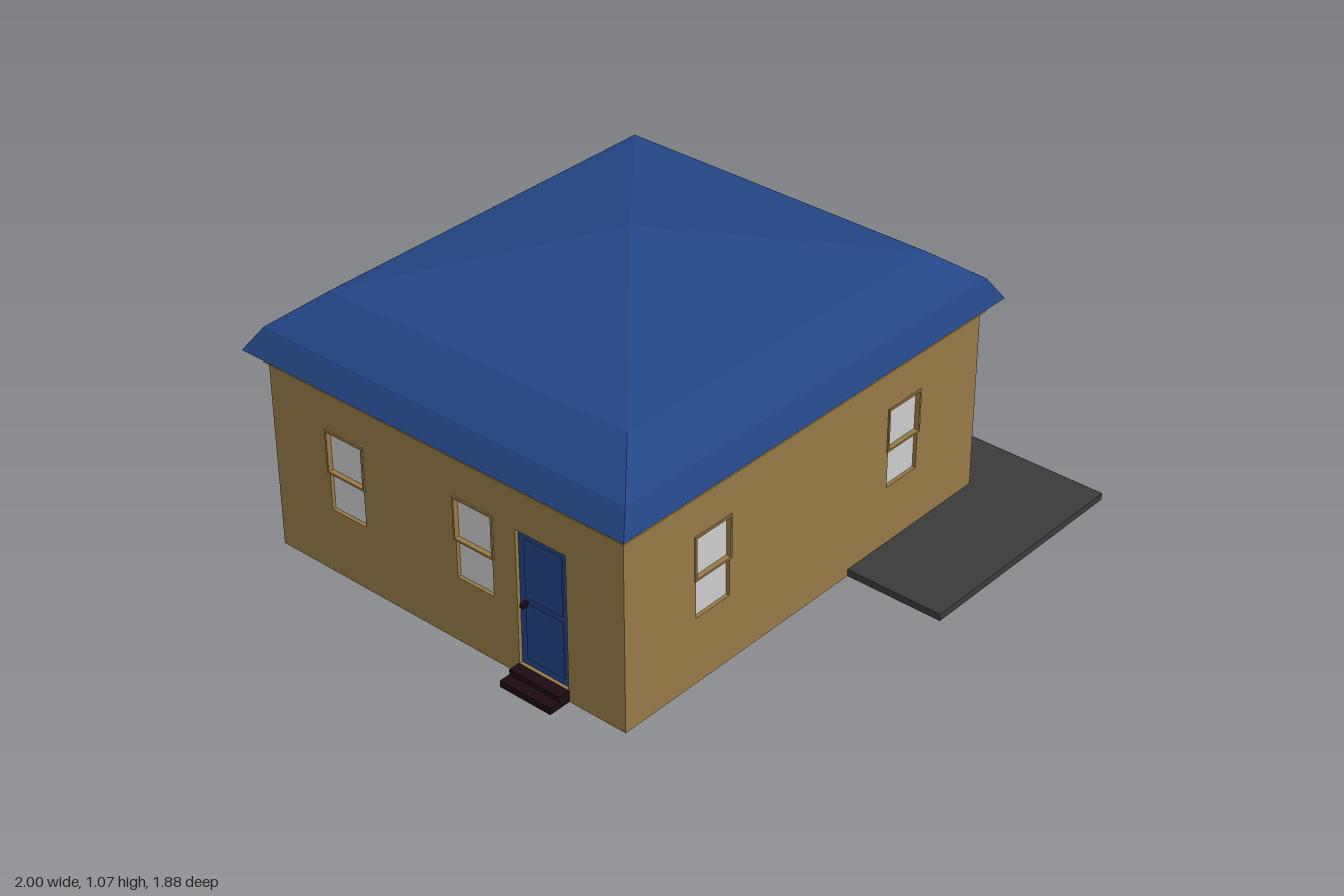
import * as THREE from 'three';

const mat = (color, side = THREE.FrontSide) =>
  new THREE.MeshStandardMaterial({ color, side, flatShading: true });
const TAN = mat(0x967a46), BLUE = mat(0x234585), BROWN = mat(0x62300f), GLASS = mat(0xcccccc);
const PAVING = mat(0x3a3a3a), DARK = mat(0x1c0a12), ROOF = mat(0x234585, THREE.DoubleSide);

const T = 0.018; // wall thickness
const X0 = -0.917, X1 = 0.762, Z0 = -0.884, Z1 = 0.58;

// Box given by its lower and upper corners
function box(parent, name, material, [x0, y0, z0], [x1, y1, z1]) {
  const mesh = new THREE.Mesh(new THREE.BoxGeometry(x1 - x0, y1 - y0, z1 - z0), material);
  mesh.position.set((x0 + x1) / 2, (y0 + y1) / 2, (z0 + z1) / 2);
  mesh.name = name;
  parent.add(mesh);
  return mesh;
}

function rect(target, x0, y0, x1, y1) {
  target.moveTo(x0, y0).lineTo(x1, y0).lineTo(x1, y1).lineTo(x0, y1).closePath();
  return target;
}

// Flat rectangular ring extruded by depth
function ring(outer, inner, depth) {
  const shape = rect(new THREE.Shape(), ...outer);
  shape.holes.push(rect(new THREE.Path(), ...inner));
  return new THREE.ExtrudeGeometry(shape, { depth, bevelEnabled: false });
}

// Wall in its own plane, outer face at z = 0, with recessed windows and doors.
// Each opening is { kind, x0, y0, x1, y1 }
function wall(name, x0, x1, openings) {
  const group = new THREE.Group();
  group.name = name;
  const shape = rect(new THREE.Shape(), x0, 0, x1, 0.72);
  for (const o of openings) shape.holes.push(rect(new THREE.Path(), o.x0, o.y0, o.x1, o.y1));
  const geometry = new THREE.ExtrudeGeometry(shape, { depth: T, bevelEnabled: false });
  geometry.translate(0, 0, -T);
  const panel = new THREE.Mesh(geometry, TAN);
  panel.name = name + 'Panel';
  group.add(panel);

  for (const o of openings) {
    const material = o.kind === 'door' ? o.material : GLASS;
    box(group, o.kind === 'door' ? 'door' : 'windowPane', material,
      [o.x0, o.y0, -T - 0.002], [o.x1, o.y1, -T + 0.005]);
    if (o.kind === 'sash') {
      // raised frame round the upper sash
      const mid = (o.y0 + o.y1) / 2, e = 0.007;
      const frame = new THREE.Mesh(
        ring([o.x0 - e, mid - e, o.x1 + e, o.y1 + e], [o.x0, mid, o.x1, o.y1], T + 0.005), TAN);
      frame.position.z = -T;
      frame.name = 'sashFrame';
      group.add(frame);
    }
  }
  return group;
}

const sash = (centre, y0, y1) => ({ kind: 'sash', x0: centre - 0.075, x1: centre + 0.075, y0, y1 });
const door = (x0, x1, y0, y1, material) => ({ kind: 'door', x0, x1, y0, y1, material });

// Four-sided roof lofted through rectangular rings up to a point
function roof() {
  const rings = [ // y, x0, x1, z0, z1
    [0.72, -0.97, 0.82, -0.942, 0.63],
    [0.80, -0.92, 0.767, -0.89, 0.592],
    [0.915, -0.767, 0.613, -0.748, 0.463],
    [1.07, -0.077, -0.077, -0.145, -0.145],
  ].map(([y, x0, x1, z0, z1]) => [[x0, y, z1], [x1, y, z1], [x1, y, z0], [x0, y, z0]]);
  const points = [];
  for (let r = 0; r < 3; r++) {
    for (let i = 0; i < 4; i++) {
      const j = (i + 1) % 4, a = rings[r], b = rings[r + 1];
      points.push(...a[i], ...a[j], ...b[j]);
      if (r < 2) points.push(...a[i], ...b[j], ...b[i]);
    }
  }
  const geometry = new THREE.BufferGeometry();
  geometry.setAttribute('position', new THREE.Float32BufferAttribute(points, 3));
  geometry.computeVertexNormals();
  const mesh = new THREE.Mesh(geometry, ROOF);
  mesh.name = 'roof';
  return mesh;
}

export function createModel() {
  const house = new THREE.Group();
  house.name = 'house';

  // Walls
  const front = wall('frontWall', X0, X1, [sash(-0.531, 0.24, 0.525), sash(0.38, 0.24, 0.525)]);
  front.position.z = Z1;

  const right = wall('entranceWall', -Z1, -Z0, [
    door(-0.374, -0.172, 0.048, 0.517, BROWN),
    sash(0.096, 0.37, 0.66), sash(0.578, 0.37, 0.66),
    { kind: 'picture', x0: 0.197, x1: 0.48, y0: 0.368, y1: 0.664 },
  ]);
  right.rotation.y = Math.PI / 2;
  right.position.x = X1;

  const back = wall('backWall', -X1, -X0,
    [0.53, -0.03, -0.325].map((c) => sash(c, 0.24, 0.525)));
  back.rotation.y = Math.PI;
  back.position.z = Z0;

  const left = wall('sideDoorWall', Z0, Z1, [
    sash(-0.563, 0.24, 0.525), sash(-0.017, 0.24, 0.525),
    door(0.155, 0.355, 0.04, 0.525, BLUE),
  ]);
  left.rotation.y = -Math.PI / 2;
  left.position.x = X0;
  // Raised panels of the side door
  for (const [y0, y1] of [[0.065, 0.27], [0.29, 0.5]]) {
    box(left, 'doorPanel', BLUE, [0.18, y0, -T], [0.33, y1, -T + 0.009]);
  }
  house.add(front, right, back, left);

  // Band under the eaves
  const band = new THREE.Mesh(
    ring([X0 - 0.011, -Z1 - 0.012, X1 + 0.012, -Z0 + 0.012], [X0 + T, -Z1 + T, X1 - T, -Z0 - T], 0.045), TAN);
  band.rotation.x = -Math.PI / 2;
  band.position.y = 0.675;
  band.name = 'eavesBand';
  house.add(band, roof());

  // Door handles and mailbox
  box(house, 'frontDoorHandle', DARK, [X1 - T, 0.265, 0.352], [X1 + 0.005, 0.305, 0.366]);
  box(house, 'sideDoorHandle', DARK, [X0 - 0.012, 0.262, 0.175], [X0 + T, 0.277, 0.19]);
  box(house, 'mailbox', BLUE, [X1, 0.335, 0.477], [X1 + 0.024, 0.37, 0.55]);

  // Patio and doorstep
  box(house, 'patio', PAVING, [0.12, 0, 0.21], [1, 0.025, 0.94]);
  box(house, 'doorstep', TAN, [X1 - 0.005, 0, 0.1], [0.955, 0.024, 0.21]);

  // Planter with sunken bed
  const planter = new THREE.Mesh(
    ring([X1, -0.1, 0.955, 0.605], [X1 + 0.026, -0.075, 0.928, 0.58], 0.1), BROWN);
  planter.rotation.x = -Math.PI / 2;
  planter.position.y = 0.022;
  planter.name = 'planter';
  house.add(planter);
  box(house, 'planterBed', BROWN, [X1 + 0.02, 0.06, -0.585], [0.935, 0.075, 0.08]);

  // Side door steps
  box(house, 'lowerStep', DARK, [-1, 0, 0.153], [X0, 0.024, 0.357]);
  box(house, 'upperStep', DARK, [-0.96, 0.024, 0.153], [X0, 0.042, 0.357]);

  return house;
}
